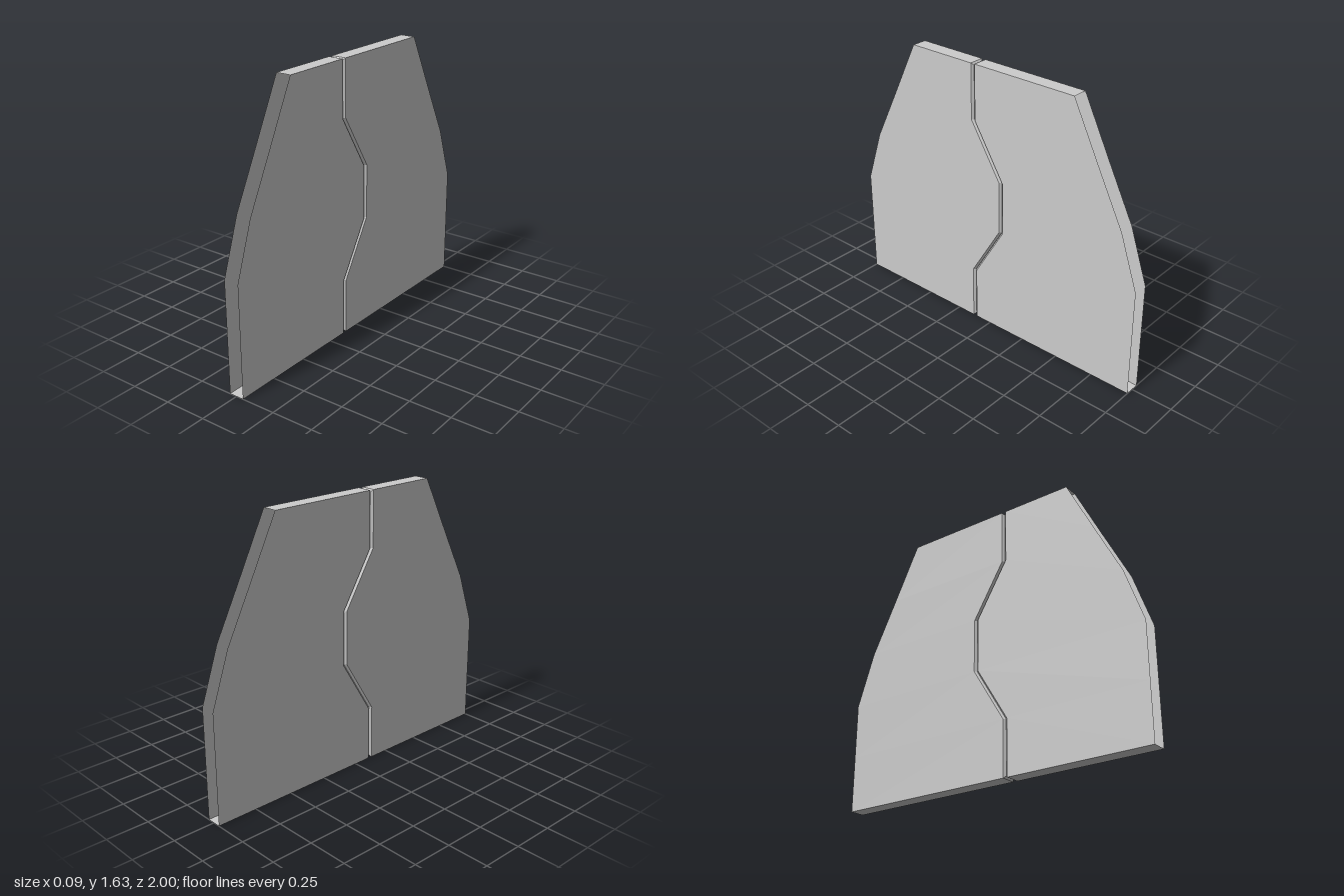
import * as THREE from 'three';

const HALF = 0.045, HEIGHT = 1.635, BEVEL = 0.013;
const LEVELS = [0, 0.33, 0.66, 0.98, 1.305, HEIGHT];
const SEAM = [0.117, 0.117, -0.083, -0.083, 0.117, 0.117];
const OUTER = [1, 1, 1, 0.89, 0.725, 0.56];

// Height-based lookup along a list of z values
function zAt(values, y) {
  let i = 0;
  while (i < LEVELS.length - 2 && y > LEVELS[i + 1]) i++;
  const t = (y - LEVELS[i]) / (LEVELS[i + 1] - LEVELS[i]);
  return THREE.MathUtils.lerp(values[i], values[i + 1], t);
}

// Closed loop: up the +x side, down the -x side
function ring(half, inset, values, scale, offset) {
  const side = LEVELS.map((l) => {
    const y = THREE.MathUtils.clamp(l, inset, HEIGHT - inset);
    return [half, y, zAt(values, y) * scale + offset];
  });
  return [...side, ...side.map(([x, y, z]) => [-x, y, z]).reverse()];
}

// Hollow door leaf, open at its outer edge; dir is +1 for front, -1 for back
function makeLeaf(name, dir, material) {
  const gap = 0.001 * dir;
  const rings = [
    ring(HALF, 0, OUTER, dir, 0),
    ring(HALF, 0, SEAM, 1, BEVEL * dir),
    ring(HALF - BEVEL, BEVEL, SEAM, 1, gap),
    // tongue on the front leaf, matching socket in the back one
    ring(0.019, 0.057, SEAM, 1, gap),
    ring(0.014, 0.067, SEAM, 1, gap - 0.02),
  ];
  const pos = [];
  const tri = (a, b, c) => pos.push(...a, ...(dir > 0 ? b : c), ...(dir > 0 ? c : b));
  const quad = (a, b, c, d) => { tri(a, d, b); tri(d, c, b); };

  for (let r = 0; r < rings.length - 1; r++) {
    const A = rings[r], B = rings[r + 1], n = A.length;
    for (let i = 0; i < n; i++) {
      const j = (i + 1) % n;
      quad(A[i], A[j], B[j], B[i]);
    }
  }
  // Cap of the tongue or socket
  const end = rings[rings.length - 1], last = end.length - 1;
  for (let i = 0; i < LEVELS.length - 1; i++) {
    quad(end[i], end[i + 1], end[last - i - 1], end[last - i]);
  }

  const geometry = new THREE.BufferGeometry();
  geometry.setAttribute('position', new THREE.Float32BufferAttribute(pos, 3));
  geometry.computeVertexNormals();
  const mesh = new THREE.Mesh(geometry, material);
  mesh.name = name;
  return mesh;
}

export function createModel() {
  const group = new THREE.Group();
  group.name = 'slidingDoor';
  const material = new THREE.MeshStandardMaterial({
    color: 0xcccccc, flatShading: true, side: THREE.DoubleSide,
  });
  group.add(makeLeaf('frontLeaf', 1, material), makeLeaf('backLeaf', -1, material));
  return group;
}
